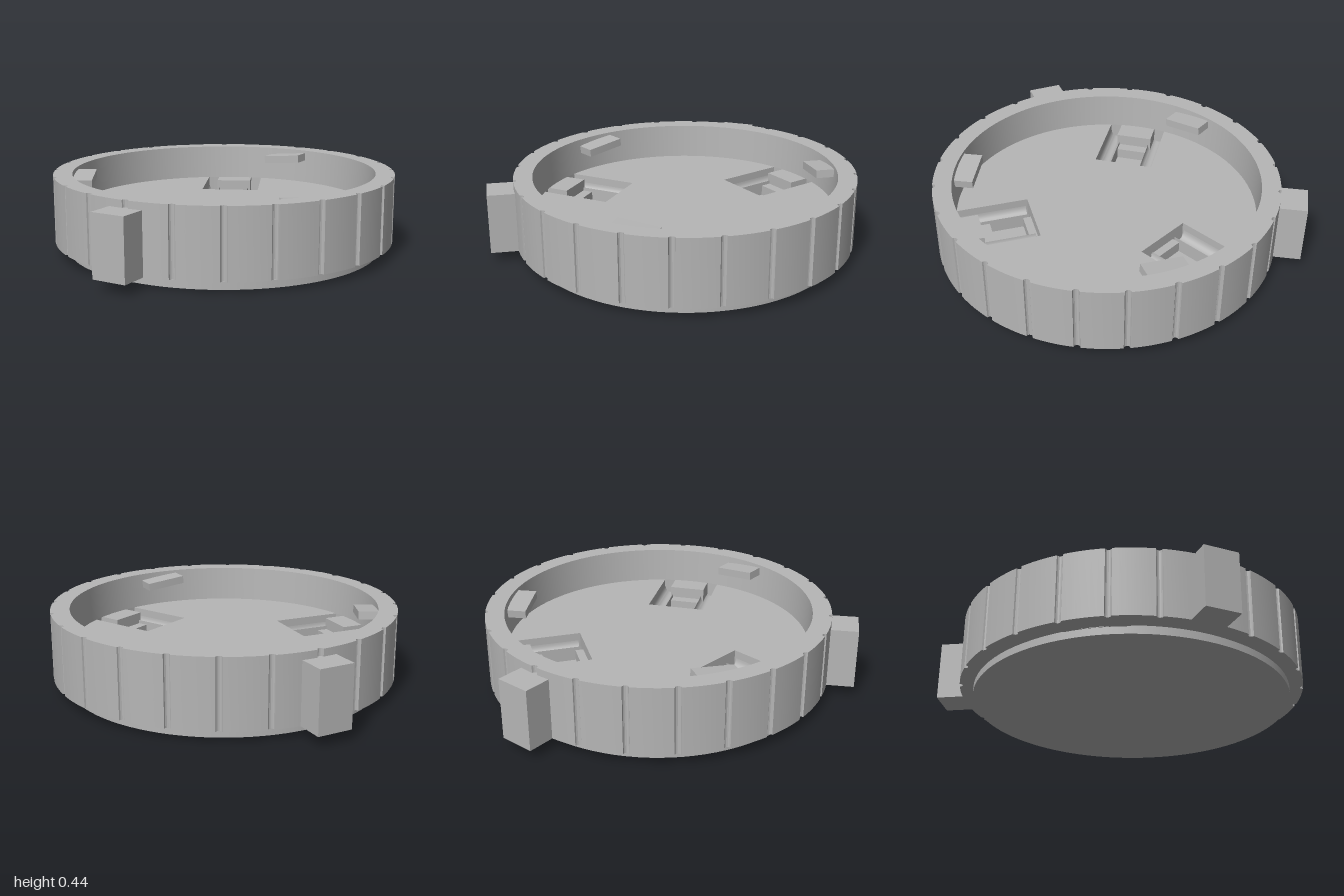
import * as THREE from 'three';
import { toCreasedNormals } from 'three/addons/utils/BufferGeometryUtils.js';

const RAD = Math.PI / 180;
const OUTER = 0.955, INNER = 0.85, FLOOR_R = 0.84;
const BOTTOM = 0.06, FLOOR_Y = 0.235, TOP = 0.435;

// Point in the plan at radius r and angle a (degrees, from the back towards +x)
const at = (r, a) => new THREE.Vector2(r * Math.sin(a * RAD), r * Math.cos(a * RAD));

// Extrude a plan shape upwards from y0 to y1
function slab(shape, y0, y1) {
  const g = new THREE.ExtrudeGeometry(shape, { depth: y1 - y0, bevelEnabled: false, curveSegments: 96 });
  g.rotateX(-Math.PI / 2).translate(0, y0, 0);
  return toCreasedNormals(g, 25 * RAD);
}

export function createModel() {
  const model = new THREE.Group();
  const cap = new THREE.Group();
  cap.name = 'cap';
  cap.position.z = -0.044;
  model.add(cap);
  const grey = new THREE.MeshStandardMaterial({ color: 0xb6b6b6 });
  grey.name = 'grey plastic';

  const add = (name, geometry, parent = cap) => {
    const mesh = new THREE.Mesh(geometry, grey);
    mesh.name = name;
    parent.add(mesh);
    return mesh;
  };
  // Group whose local -z points outwards at angle a
  const radial = (name, a) => {
    const g = new THREE.Group();
    g.name = name;
    g.rotation.y = -a * RAD;
    cap.add(g);
    return g;
  };
  // Box between radii r0 and r1 inside a radial group
  const radialBox = (name, parent, w, y0, y1, r0, r1) => {
    const g = new THREE.BoxGeometry(w, y1 - y0, r1 - r0);
    return add(name, g.translate(0, (y0 + y1) / 2, -(r0 + r1) / 2), parent);
  };

  // Outer ring with 24 round grip grooves
  const outline = [];
  for (let k = 0; k < 24; k++) {
    const a = 10 + 15 * k;
    for (let i = 0; i <= 6; i++) {
      const p = Math.PI * i / 6;
      outline.push(at(OUTER - 0.017 * Math.sin(p), a - 1.05 * Math.cos(p)));
    }
    for (let i = 1; i < 6; i++) outline.push(at(OUTER, a + 1.05 + 12.9 * i / 6));
  }
  const ringShape = new THREE.Shape(outline);
  ringShape.holes.push(new THREE.Path().absarc(0, 0, INNER, 0, Math.PI * 2));
  add('grippedRing', slab(ringShape, BOTTOM, TOP));

  // Slightly tapered inner wall
  add('innerWall', new THREE.LatheGeometry([
    new THREE.Vector2(INNER, TOP), new THREE.Vector2(FLOOR_R, FLOOR_Y)], 96));

  // Floor with three notches for the latch pockets
  const floorPts = [];
  const edge = Math.asin(0.17 / FLOOR_R) / RAD;
  const notchR = Math.hypot(0.42, 0.17), notchA = Math.atan2(0.17, 0.42) / RAD;
  for (const a of [0, 120, 240]) {
    floorPts.push(at(notchR, a - notchA), at(notchR, a + notchA));
    for (let i = 0; i <= 32; i++) floorPts.push(at(FLOOR_R, a + edge + (120 - 2 * edge) * i / 32));
  }
  add('floor', slab(new THREE.Shape(floorPts), BOTTOM, FLOOR_Y));

  // Neck and base flange
  add('neck', new THREE.CylinderGeometry(0.82, 0.82, 0.03, 96).translate(0, 0.05, 0));
  add('baseFlange', new THREE.CylinderGeometry(0.88, 0.88, 0.04, 96).translate(0, 0.02, 0));

  // Latch pockets: rounded side channels around a stepped recess
  for (const a of [0, 120, 240]) {
    const pocket = radial('latchPocket', a);
    for (const s of [-1, 1]) {
      const pts = [new THREE.Vector2(s * 0.09, BOTTOM), new THREE.Vector2(s * 0.17, BOTTOM)];
      for (let i = 0; i <= 12; i++) {
        const p = Math.PI * i / 12;
        pts.push(new THREE.Vector2(s * (0.13 + 0.04 * Math.cos(p)), 0.19 - 0.045 * Math.sin(p)));
      }
      const g = new THREE.ExtrudeGeometry(new THREE.Shape(pts), { depth: 0.415, bevelEnabled: false });
      add('sideChannel', toCreasedNormals(g.translate(0, 0, -0.845), 30 * RAD), pocket);
    }
    radialBox('latchBlock', pocket, 0.21, BOTTOM, FLOOR_Y, 0.715, 0.845);
    radialBox('outerLedge', pocket, 0.18, BOTTOM, 0.17, 0.655, 0.715);
    radialBox('recessFloor', pocket, 0.18, BOTTOM, 0.11, 0.465, 0.655);
    radialBox('innerLedge', pocket, 0.18, BOTTOM, 0.17, 0.42, 0.465);
  }

  // Tilted bayonet tabs on the inner wall
  for (const a of [24.5, 144.5, 264.5]) {
    const holder = radial('bayonetTab', a);
    const tab = add('tab', new THREE.BoxGeometry(0.235, 0.045, 0.15), holder);
    tab.position.set(0, 0.385, -0.81);
    tab.rotation.z = 0.1;
  }

  // Outer lugs
  for (const a of [-34.8, 205]) {
    radialBox('lug', radial('outerLug', a), 0.193, BOTTOM, 0.395, 0.9, 1.1);
  }
  return model;
}
